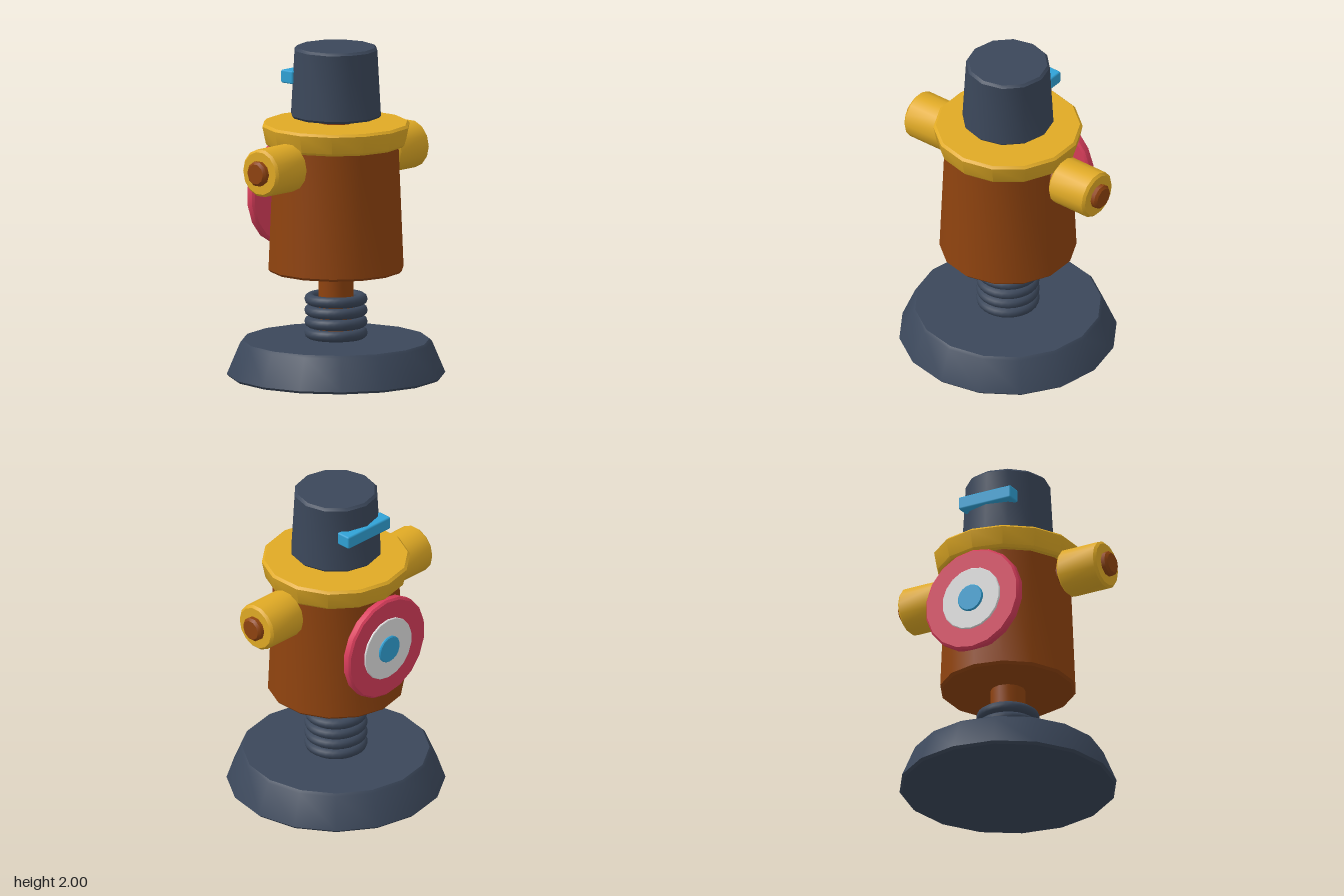
import * as THREE from 'three';
import { toCreasedNormals } from 'three/addons/utils/BufferGeometryUtils.js';
import { RoundedBoxGeometry } from 'three/addons/geometries/RoundedBoxGeometry.js';

const paint = (name, color) => {
  const m = new THREE.MeshStandardMaterial({ color });
  m.name = name;
  return m;
};

// Capped, slightly bevelled drum from y0 (radius r0) up to y1 (radius r1)
function drum(y0, r0, y1, r1, sides, bevel = 0.015) {
  const profile = [
    [0, y0], [r0 - bevel, y0], [r0, y0 + bevel],
    [r1, y1 - bevel], [r1 - bevel, y1], [0, y1],
  ].map(([r, y]) => new THREE.Vector2(r, y));
  return toCreasedNormals(new THREE.LatheGeometry(profile, sides), 0.65);
}

export function createModel() {
  const model = new THREE.Group();
  model.name = 'trainingDummy';

  const slate = paint('slate', 0x3b475a);
  const wood = paint('brown wood', 0x8f430f);
  const gold = paint('gold', 0xe0aa25);
  const red = paint('red', 0xd93d5b);
  const white = paint('white', 0xe2e2e2);
  const blue = paint('blue', 0x30a2d6);

  const add = (name, geometry, material) => {
    const mesh = new THREE.Mesh(geometry, material);
    mesh.name = name;
    model.add(mesh);
    return mesh;
  };

  // Stand, post and spring
  add('base', drum(0, 0.655, 0.22, 0.575, 16), slate);
  add('post', drum(0.2, 0.106, 0.7, 0.106, 12, 0.005), wood);
  for (let i = 0; i < 4; i++) {
    const ring = add('springRing' + (i + 1), new THREE.TorusGeometry(0.157, 0.033, 10, 28), slate);
    ring.rotation.x = Math.PI / 2;
    ring.position.y = 0.262 + i * 0.0685;
  }

  // Body, collar, neck and head
  add('body', drum(0.64, 0.41, 1.44, 0.378, 14), wood);
  add('collar', drum(1.405, 0.425, 1.54, 0.447, 14), gold);
  add('neck', drum(1.5, 0.106, 1.62, 0.106, 12, 0.005), wood);
  add('head', drum(1.575, 0.275, 2, 0.253, 12), slate);

  // Visor on the back of the head
  add('visor', new RoundedBoxGeometry(0.36, 0.08, 0.095, 1, 0.01), blue)
    .position.set(0, 1.81, -0.237);

  // Arm rods with padded sleeves
  for (const [side, s] of [['left', 1], ['right', -1]]) {
    const rod = add(side + 'ArmRod', drum(0.2, 0.076, 0.725, 0.076, 10), wood);
    const sleeve = add(side + 'ArmSleeve', drum(0.41, 0.145, 0.685, 0.145, 14), gold);
    for (const part of [rod, sleeve]) {
      part.rotation.z = -s * Math.PI / 2;
      part.position.y = 1.32;
    }
  }

  // Round target on the back, each disc a little proud of the last
  const discs = [
    ['targetOuter', 0.375, 0.325, 0.434, red, 0.012],
    ['targetMiddle', 0.4, 0.198, 0.445, white, 0.004],
    ['targetCentre', 0.41, 0.085, 0.458, blue, 0.006],
  ];
  for (const [name, inner, radius, outer, material, bevel] of discs) {
    const disc = add(name, drum(inner, radius, outer, radius, 18, bevel), material);
    disc.rotation.x = -Math.PI / 2;
    disc.position.y = 1.078;
  }

  return model;
}
